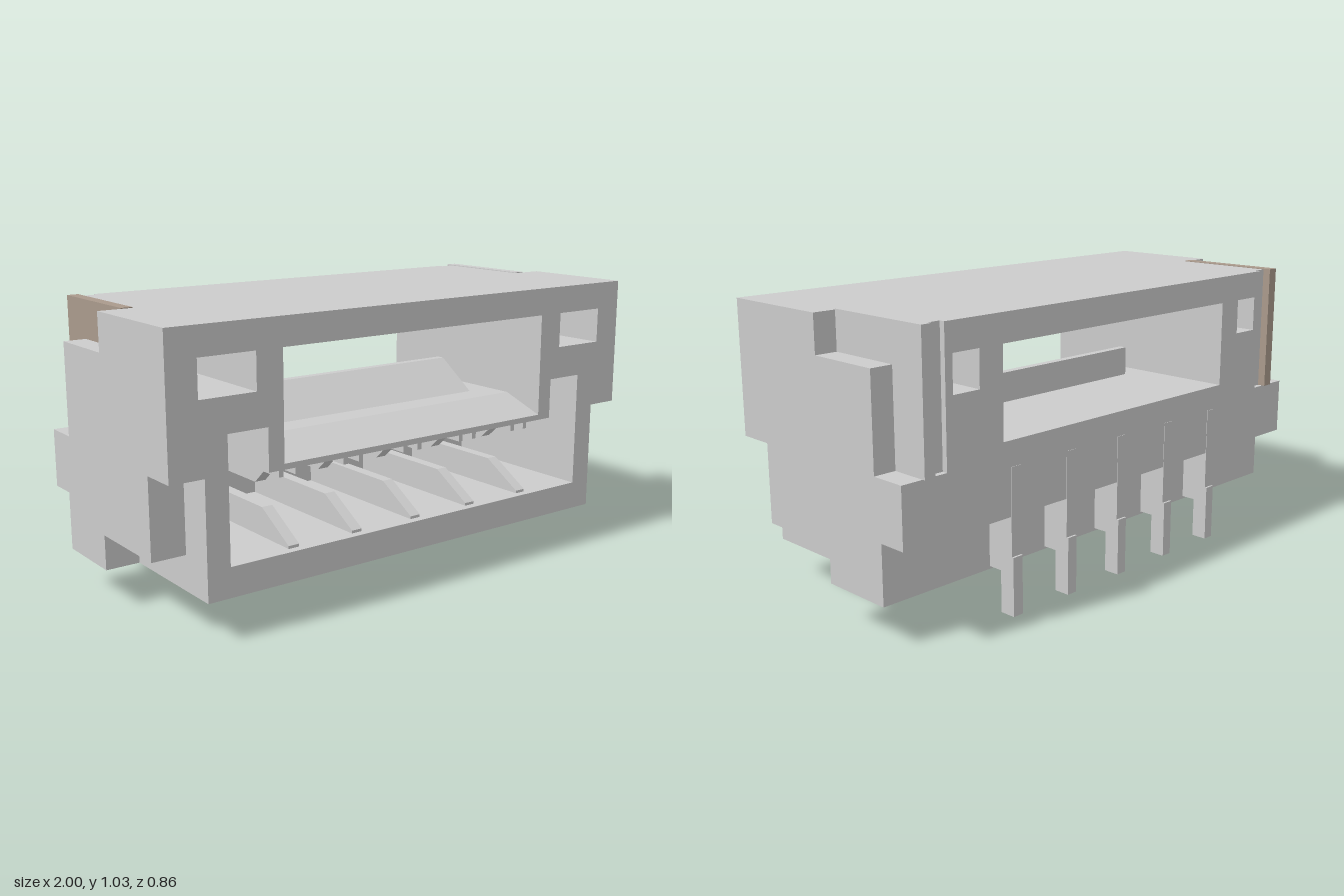
import * as THREE from 'three';

const grey = new THREE.MeshStandardMaterial({ color: 0xcccccc, flatShading: true });
const tan = new THREE.MeshStandardMaterial({ color: 0xaa9a8c, flatShading: true });
const points = (list) => list.map(([x, y]) => new THREE.Vector2(x, y));
const rect = (x0, x1, y0, y1) => [[x0, y0], [x1, y0], [x1, y1], [x0, y1]];
// complete a right half outline (bottom to top) with its mirror image
const mirrored = (half) => [...half, ...half.map(([x, y]) => [-x, y]).reverse()];

function add(group, name, geometry, material = grey) {
  const mesh = new THREE.Mesh(geometry, material);
  mesh.name = name;
  group.add(mesh);
  return mesh;
}

// side profile given as [z, y], extruded along x and centred on x = 0
function sideExtrude(profile, width) {
  const geometry = new THREE.ExtrudeGeometry(new THREE.Shape(points(profile)), { depth: width, bevelEnabled: false });
  return geometry.translate(0, 0, -width / 2).rotateY(-Math.PI / 2);
}

// outer outline of the housing at depth z, with its corner notches
function outline(z) {
  const bottom = z < -0.315 ? 0.35 : 0.14;
  const notch = z > 0.295 ? 0.55 : z > -0.04 ? 0.265 : bottom;
  const shoulder = z < -0.29 ? 0.56 : z < -0.01 ? 0.895 : 1.03;
  const topX = z < -0.4 ? 0.82 : 0.915;
  const half = notch > bottom ? [[0.875, bottom], [0.875, notch], [1, notch]] : [[1, bottom]];
  half.push([1, shoulder]);
  if (shoulder < 1.03) half.push([topX, shoulder], [topX, 1.03]);
  return mirrored(half);
}

// openings in the housing at depth z
function openings(z) {
  const outer = z > -0.1 ? 0.89 : 0.79;
  const holes = [
    rect(-0.58, 0.58, 0.55, 0.93),
    rect(0.68, outer, 0.8, 0.93),
    rect(-outer, -0.68, 0.8, 0.93),
  ];
  if (z > -0.22) holes.push(mirrored([[0.79, 0.245], [0.79, 0.68], [0.64, 0.68], [0.64, 0.53]]));
  return holes;
}

export function createModel() {
  const model = new THREE.Group();
  model.name = 'connector';

  // housing, as slices between the depths where its section changes
  const housing = new THREE.Group();
  housing.name = 'housing';
  model.add(housing);
  const depths = [0.43, 0.295, -0.01, -0.04, -0.1, -0.22, -0.29, -0.315, -0.4, -0.42];
  for (let i = 0; i < depths.length - 1; i++) {
    const [front, back] = [depths[i], depths[i + 1]];
    // the lower side notch ends just behind the start of the upper one
    const z = (front + back) / 2;
    const shape = new THREE.Shape(points(outline(z)));
    shape.holes = openings(z).map((h) => new THREE.Path(points(h)));
    const geometry = new THREE.ExtrudeGeometry(shape, { depth: front - back, bevelEnabled: false });
    add(housing, 'housingSlice', geometry.translate(0, 0, back));
  }

  // sill of the window, with a sloped lead-in and a latch ridge
  add(model, 'windowSill', sideExtrude([[-0.42, 0.54], [0.42, 0.54], [0.43, 0.55], [0.26, 0.61], [-0.42, 0.61]], 1.16));
  add(model, 'latchRidge', sideExtrude([[-0.03, 0.6], [0.16, 0.6], [0.16, 0.61], [0, 0.72], [-0.03, 0.72]], 0.95));

  // forked contacts: lower and upper arm, spine and solder leg
  const contactProfile = [
    [-0.43, 0], [-0.37, 0], [-0.37, 0.15], [-0.3, 0.15], [-0.2, 0.24], [0.4, 0.24], [0.4, 0.255],
    [0.24, 0.35], [-0.19, 0.35], [-0.19, 0.43], [0.2, 0.43], [0.3, 0.52],
    [-0.422, 0.52], [-0.422, 0.21], [-0.43, 0.21],
  ];
  const contact = sideExtrude(contactProfile, 0.042);
  const tooth = new THREE.BoxGeometry(0.018, 0.05, 0.6);
  for (let i = -2; i <= 2; i++) {
    const x = i * 0.2635;
    add(model, 'contact', contact).position.x = x;
    // guide teeth on either side of the upper arm
    for (const s of [-1, 1]) add(model, 'guideTooth', tooth).position.set(x + s * 0.033, 0.515, 0.08);
  }

  // L-shaped retaining plates set into the rear upper corners
  const plate = [[-0.43, 0.56], [-0.29, 0.56], [-0.29, 0.895], [-0.01, 0.895], [-0.01, 1.033], [-0.43, 1.033]];
  for (const s of [-1, 1]) {
    add(model, 'retainingPlate', sideExtrude(plate, 0.042), s < 0 ? tan : grey).position.x = s * 0.896;
  }
  return model;
}
